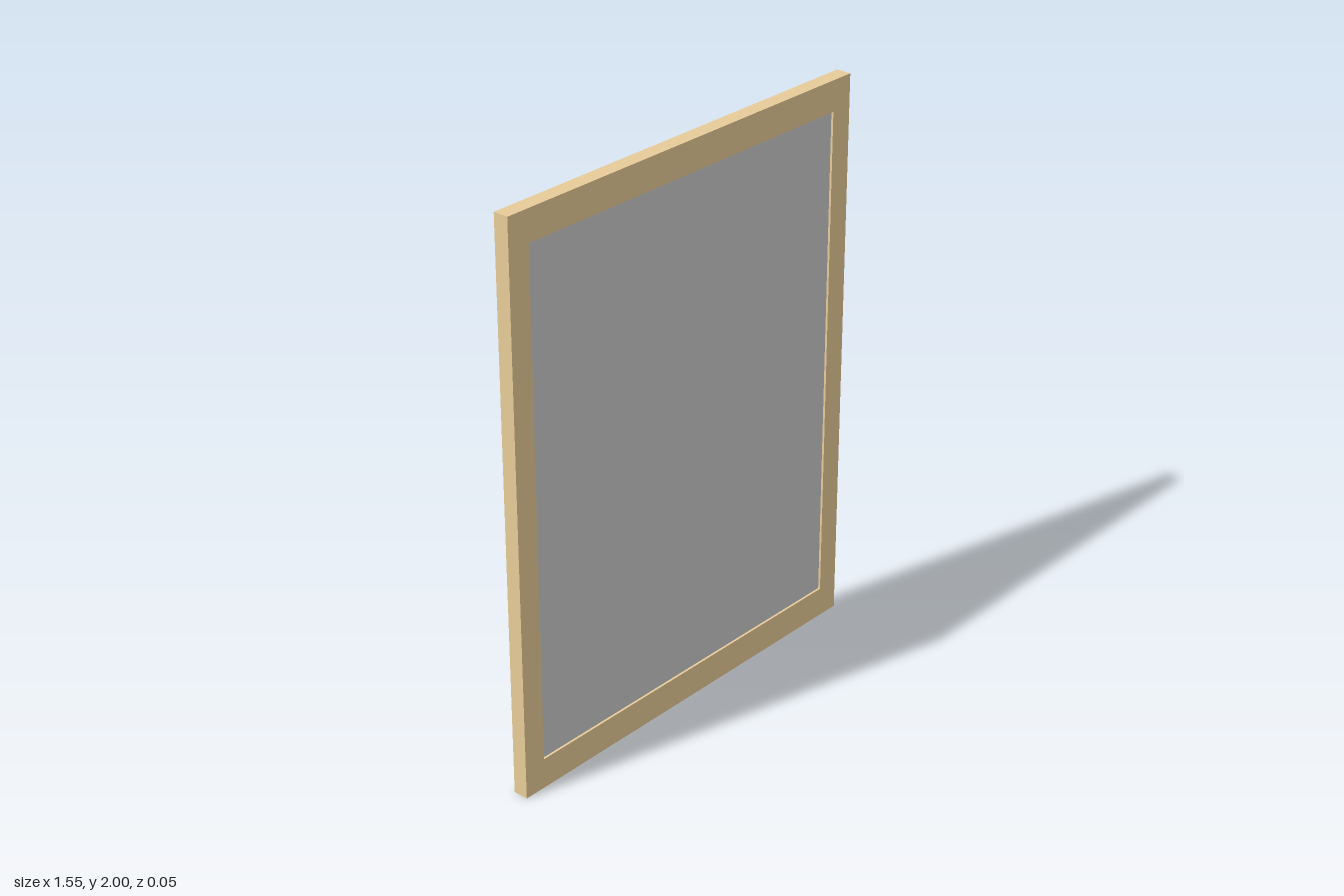
import * as THREE from 'three';

const W = 1.554, H = 2, BACK = -0.027, FRONT = 0.027;
const wood = new THREE.MeshStandardMaterial({ color: 0xe8cc98 });
const glass = new THREE.MeshStandardMaterial({ color: 0xcccccc });

// Rectangle inset from the outer edge by dx at the sides and dy at top and bottom
function inset(Type, dx, dy) {
  const x = W / 2 - dx;
  return new Type([[-x, dy], [x, dy], [x, H - dy], [-x, H - dy]].map(p => new THREE.Vector2(...p)));
}

// Rectangular ring between two insets, running from z0 to z1
function ring(name, outer, inner, z0, z1) {
  const shape = inset(THREE.Shape, ...outer);
  shape.holes.push(inset(THREE.Path, ...inner));
  const geo = new THREE.ExtrudeGeometry(shape, { depth: z1 - z0, bevelEnabled: false });
  geo.translate(0, 0, z0);
  const mesh = new THREE.Mesh(geo, wood);
  mesh.name = name;
  return mesh;
}

function box(name, w, h, z0, z1, material) {
  const mesh = new THREE.Mesh(new THREE.BoxGeometry(w, h, z1 - z0), material);
  mesh.position.set(0, H / 2, (z0 + z1) / 2);
  mesh.name = name;
  return mesh;
}

export function createModel() {
  const model = new THREE.Group();
  model.name = 'window';
  const opening = [0.082, 0.108];
  const openW = W - 2 * opening[0], openH = H - 2 * opening[1];
  const grooveFloor = -0.008;

  // Front casing, with the rim and inner sash behind it separated by a narrow groove
  model.add(ring('frontFrame', [0, 0], opening, grooveFloor, FRONT));
  model.add(ring('backRim', [0, 0], [0.04, 0.045], BACK, grooveFloor));
  model.add(ring('sash', [0.053, 0.06], opening, BACK, grooveFloor));

  // Pane set close to the front
  model.add(box('glassPane', openW, openH, 0.013, 0.019, glass));

  // Crossed glazing bars on the back, the horizontal one in two halves
  const bar = 0.04, half = (openW - bar) / 2;
  model.add(box('verticalBar', bar, openH, BACK, 0.013, wood));
  for (const side of [-1, 1]) {
    const h = box(side > 0 ? 'leftBar' : 'rightBar', half, bar, BACK, 0.013, wood);
    h.position.x = side * (bar + half) / 2;
    model.add(h);
  }
  return model;
}
